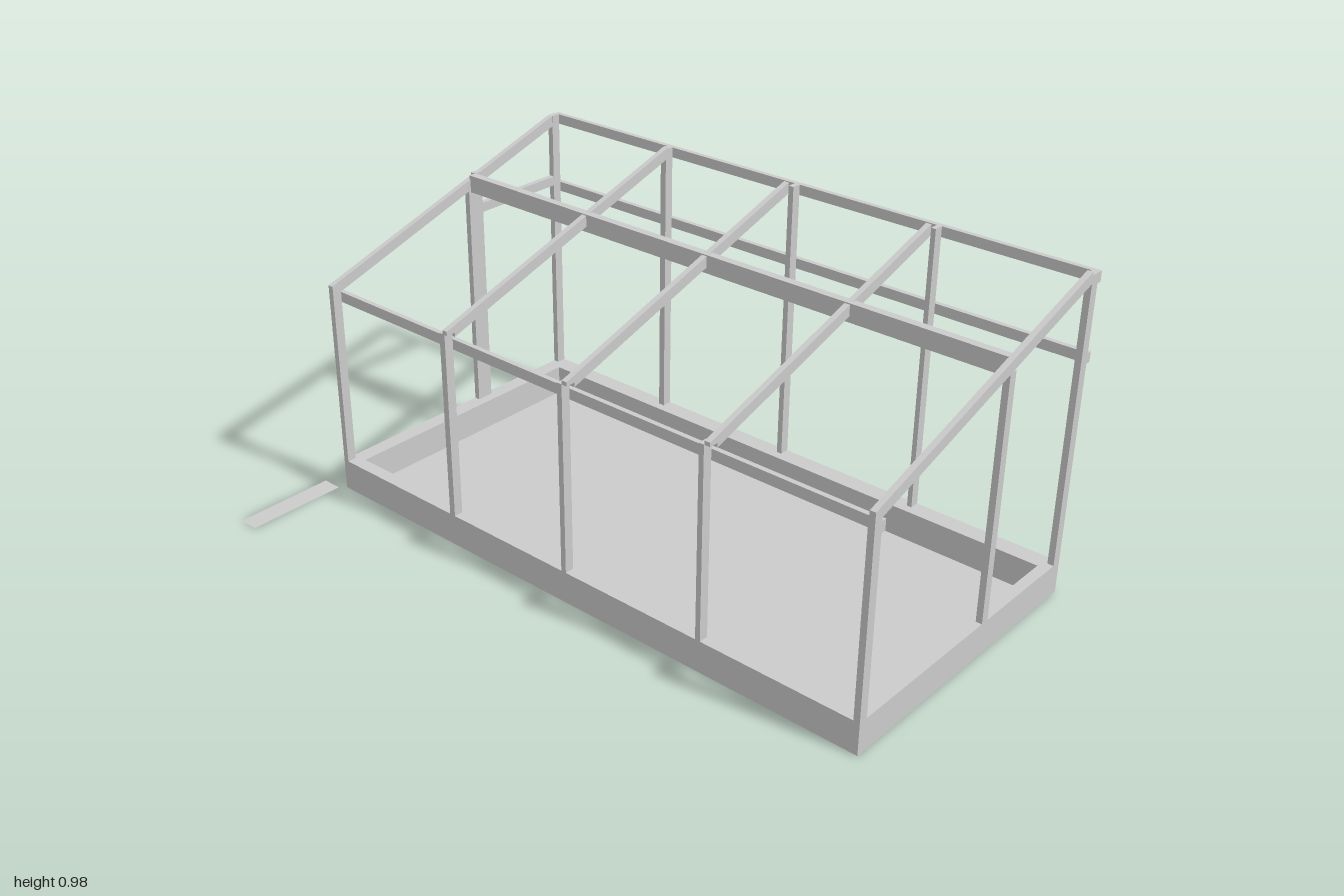
import * as THREE from 'three';

export function createModel() {
  const group = new THREE.Group();
  const mat = new THREE.MeshStandardMaterial({ color: 0xcccccc, flatShading: true });
  const thinMat = new THREE.MeshStandardMaterial({ color: 0xcccccc, side: THREE.DoubleSide });

  const add = (name, geometry, material = mat) => {
    const mesh = new THREE.Mesh(geometry, material);
    mesh.name = name;
    group.add(mesh);
    return mesh;
  };
  // Box given by its limits on each axis
  const box = (name, x0, x1, y0, y1, z0, z1) =>
    add(name, new THREE.BoxGeometry(x1 - x0, y1 - y0, z1 - z0))
      .position.set((x0 + x1) / 2, (y0 + y1) / 2, (z0 + z1) / 2);

  const xL = -0.919, xR = 0.996, zF = 0.314, zB = -0.635;
  const baseTop = 0.098;

  // Base: rectangular kerb with a thin floor
  const rect = (P, x0, x1, z0, z1) => {
    const p = new P();
    p.moveTo(x0, -z1).lineTo(x1, -z1).lineTo(x1, -z0).lineTo(x0, -z0).closePath();
    return p;
  };
  const kerb = rect(THREE.Shape, xL, xR, zB, zF);
  kerb.holes.push(rect(THREE.Path, -0.87, 0.962, -0.577, 0.273));
  const kerbGeo = new THREE.ExtrudeGeometry(kerb, { depth: baseTop, bevelEnabled: false });
  kerbGeo.rotateX(-Math.PI / 2);
  add('baseKerb', kerbGeo);
  box('floor', -0.872, 0.964, 0, 0.004, -0.579, 0.275);

  // Posts: [x0, x1] along the front and back walls
  const endPosts = [[xL, -0.901], [0.977, xR]];
  const frontPosts = [[-0.444, -0.424], [0.003, 0.02], [0.481, 0.497]];
  const backPosts = [[-0.444, -0.424], [0.038, 0.055], [0.516, 0.531]];
  for (const [a, b] of [...endPosts, ...frontPosts]) box('frontPost', a, b, baseTop, 0.677, 0.285, zF);
  for (const [a, b] of [...endPosts, ...backPosts]) box('backPost', a, b, baseTop, 0.967, zB, -0.605);

  // Posts in the middle of the end walls, with a brace at one end
  for (const [a, b] of endPosts) box('sidePost', a, b, baseTop, 0.83, -0.262, -0.235);
  box('doorPost', xL, -0.901, baseTop, 0.868, -0.29, -0.262);
  box('sideBrace', xL, -0.901, 0.735, 0.765, -0.605, -0.29);

  // Sloping rafters, cut vertically at both ends
  const rafter = (x0, x1, drop) => {
    const t = 0.034;
    const s = new THREE.Shape();
    s.moveTo(zF, 0.689).lineTo(-0.605, 0.977).lineTo(-0.605, 0.977 - t);
    s.lineTo(0.285, 0.698 - t).lineTo(0.285, 0.677).lineTo(zF, 0.677).closePath();
    const g = new THREE.ExtrudeGeometry(s, { depth: x1 - x0, bevelEnabled: false });
    g.rotateY(-Math.PI / 2);
    g.translate(x1, -drop, 0);
    add('rafter', g);
  };
  for (const x of [-0.431, 0.021, 0.499, 0.979]) rafter(x, x + 0.017, 0);
  rafter(xL, -0.902, 0.01);

  // Long horizontal beams
  box('frontRail', xL, xR, 0.622, 0.654, 0.27, 0.285);
  box('roofPurlin', -0.905, 0.98, 0.813, 0.867, -0.268, -0.243);
  box('backTopRail', xL, xR, 0.935, 0.966, -0.651, zB);
  box('backMiddleRail', xL, xR, 0.708, 0.739, -0.651, zB);

  // Loose flat strip on the ground
  const strip = new THREE.PlaneGeometry(0.063, 0.318);
  strip.rotateX(-Math.PI / 2);
  add('groundStrip', strip, thinMat).position.set(-0.9685, 0, 0.491);

  return group;
}
